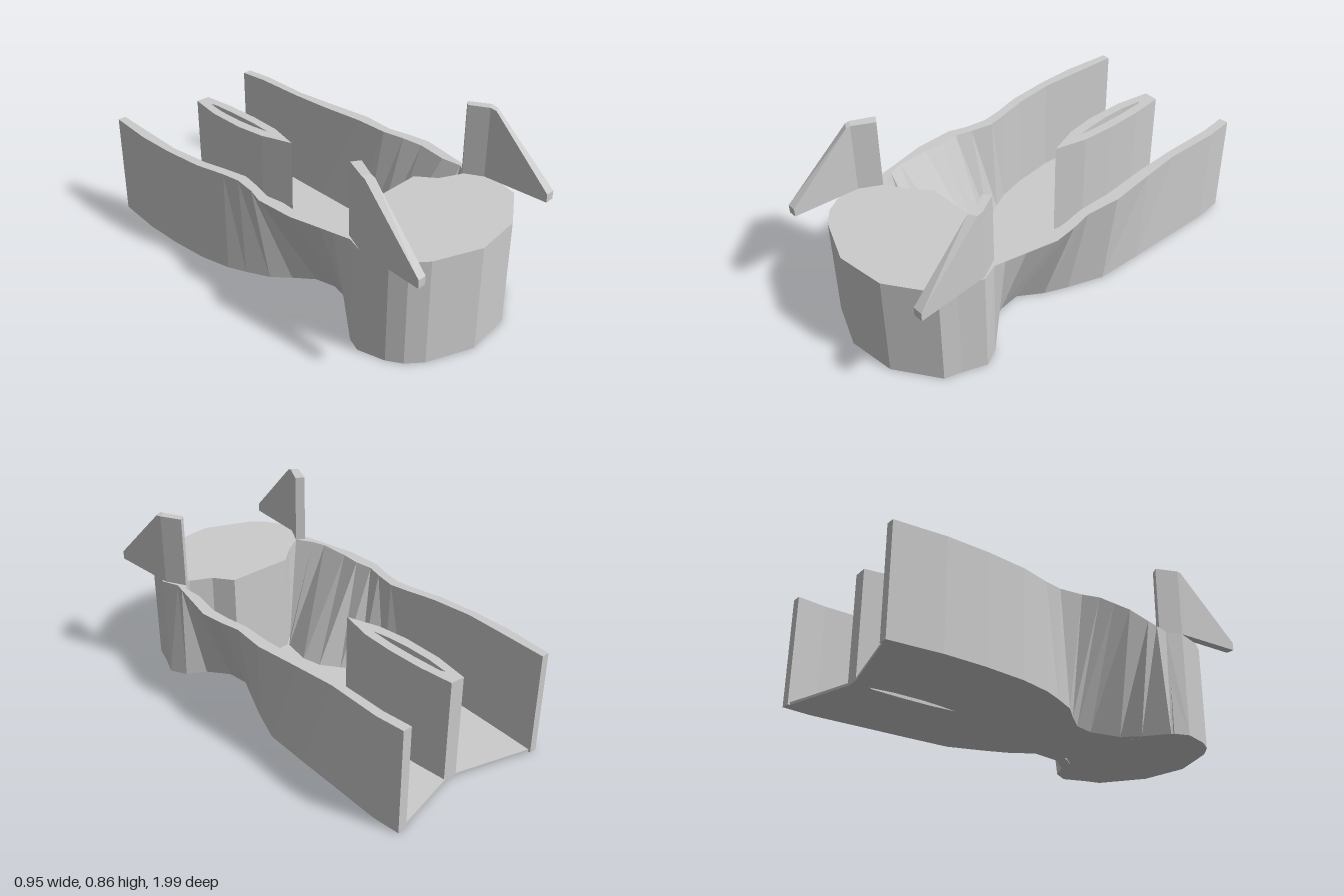
import * as THREE from 'three';

const H = 0.515;
const material = new THREE.MeshStandardMaterial({ color: 0xcccccc, flatShading: true });

function addMesh(group, name, geometry) {
  const mesh = new THREE.Mesh(geometry, material);
  mesh.name = name;
  group.add(mesh);
  return mesh;
}

// Upright prism from a plan outline of [x, z] points, with optional holes
function prism(outline, y0, y1, holes = []) {
  const toVec = ([x, z]) => new THREE.Vector2(x, -z);
  const shape = new THREE.Shape(outline.map(toVec));
  holes.forEach((h) => shape.holes.push(new THREE.Path(h.map(toVec))));
  const geo = new THREE.ExtrudeGeometry(shape, { depth: y1 - y0, bevelEnabled: false });
  return geo.rotateX(-Math.PI / 2).translate(0, y0, 0);
}

// Strip of four-cornered sections; each section lists corners in ring order
function loft(sections, flip) {
  const pos = [];
  const quad = (a, b, c, d) => {
    const order = flip ? [a, c, b, a, d, c] : [a, b, c, a, c, d];
    order.forEach((p) => pos.push(...p));
  };
  for (let i = 0; i < sections.length - 1; i++) {
    const s = sections[i], t = sections[i + 1];
    for (let k = 0; k < 4; k++) {
      const n = (k + 1) % 4;
      quad(s[k], s[n], t[n], t[k]);
    }
  }
  const e = sections[sections.length - 1], s = sections[0];
  quad(s[3], s[2], s[1], s[0]);
  quad(e[0], e[1], e[2], e[3]);
  const geo = new THREE.BufferGeometry();
  geo.setAttribute('position', new THREE.Float32BufferAttribute(pos, 3));
  geo.computeVertexNormals();
  return geo;
}

// Wall stations: z, bottom outer x, bottom inner x, top outer x, top inner x
const rightWall = [
  [-0.99, -0.43, -0.39, -0.43, -0.39],
  [-0.75, -0.46, -0.41, -0.46, -0.41],
  [-0.55, -0.465, -0.425, -0.465, -0.425],
  [-0.35, -0.455, -0.41, -0.455, -0.41],
  [-0.2, -0.425, -0.38, -0.425, -0.38],
  [-0.11, -0.39, -0.34, -0.415, -0.365],
  [0, -0.34, -0.28, -0.435, -0.39],
  [0.08, -0.27, -0.215, -0.465, -0.415],
  [0.17, -0.2, -0.15, -0.465, -0.405],
  [0.27, -0.18, -0.13, -0.465, -0.415],
  [0.42, -0.22, -0.16, -0.437, -0.415],
  [0.49, -0.29, -0.23, -0.425, -0.395],
  [0.57, -0.4, -0.34, -0.41, -0.35],
  [0.65, -0.44, -0.38, -0.44, -0.38],
];
const leftWall = [
  [-0.96, 0.43, 0.385, 0.43, 0.385],
  [-0.82, 0.44, 0.395, 0.44, 0.395],
  [-0.55, 0.425, 0.375, 0.425, 0.385],
  [-0.35, 0.415, 0.363, 0.44, 0.388],
  [-0.12, 0.4, 0.35, 0.46, 0.402],
  [0.05, 0.335, 0.28, 0.44, 0.395],
  [0.16, 0.285, 0.23, 0.46, 0.41],
  [0.27, 0.21, 0.16, 0.47, 0.415],
  [0.42, 0.225, 0.165, 0.435, 0.385],
  [0.52, 0.3, 0.23, 0.412, 0.39],
  [0.57, 0.39, 0.33, 0.4, 0.355],
  [0.65, 0.43, 0.37, 0.43, 0.37],
];

// Ear stations: z outer, x outer, z inner, x inner, top y
const rightEar = [
  [0.545, -0.39, 0.57, -0.35, 0.86],
  [0.65, -0.44, 0.67, -0.405, 0.86],
  [0.67, -0.443, 0.69, -0.407, 0.855],
  [0.985, -0.478, 0.985, -0.437, 0.555],
];
const leftEar = [
  [0.545, 0.37, 0.57, 0.34, 0.86],
  [0.64, 0.42, 0.66, 0.385, 0.86],
  [0.67, 0.422, 0.69, 0.386, 0.855],
  [0.985, 0.437, 0.985, 0.39, 0.555],
];

export function createModel() {
  const group = new THREE.Group();

  // Side walls, leaning outward above the narrow waist
  [['rightWall', rightWall, true], ['leftWall', leftWall, false]].forEach(([name, wall, flip]) => {
    addMesh(group, name, loft(wall.map(([z, ob, ib, ot, it]) => [
      [ob, 0, z], [ib, 0, z], [it, H, z], [ot, H, z],
    ]), !flip));
  });

  // Solid front block with a shallow curved slot in its top
  const block = [
    [-0.16, 0.43], [0.165, 0.43], [0.23, 0.52], [0.33, 0.57], [0.39, 0.58], [0.43, 0.65],
    [0.385, 0.76], [0.36, 0.84], [0.155, 0.975], [-0.08, 1], [-0.3, 0.91],
    [-0.37, 0.85], [-0.41, 0.78], [-0.44, 0.65], [-0.41, 0.58], [-0.35, 0.57], [-0.24, 0.5],
  ];
  const slot = [[-0.155, 0.91], [-0.03, 0.92], [0.16, 0.91], [0.14, 0.932], [-0.08, 0.942]];
  addMesh(group, 'frontBlock', prism(block, 0, H - 0.02));
  addMesh(group, 'frontBlockTop', prism(block, H - 0.02, H, [slot]));

  // Thin floor following the foot of both walls
  const leaf = [
    [-0.02, -0.87], [-0.055, -0.7], [-0.065, -0.5], [-0.05, -0.35], [0, -0.19],
    [0.045, -0.35], [0.06, -0.52], [0.062, -0.7], [0.05, -0.865],
  ];
  const leafSlot = [
    [0.005, -0.79], [-0.012, -0.68], [-0.017, -0.55], [-0.012, -0.45], [0, -0.36],
    [0.013, -0.48], [0.017, -0.62], [0.015, -0.77],
  ];
  const floorPlan = [
    ...rightWall.filter((s) => s[0] < 0.5).map((s) => [s[1], s[0]]),
    ...leftWall.filter((s) => s[0] < 0.5).map((s) => [s[1], s[0]]).reverse(),
    [0.015, -0.86],
  ];
  addMesh(group, 'floor', prism(floorPlan, 0, 0.012, [leafSlot]));

  // Hollow leaf-shaped divider
  addMesh(group, 'divider', prism(leaf, 0, H, [leafSlot]));

  // Swept ears above the front block
  [['rightEar', rightEar, true], ['leftEar', leftEar, false]].forEach(([name, ear, flip]) => {
    addMesh(group, name, loft(ear.map(([zo, xo, zi, xi, top]) => [
      [xo, H, zo], [xi, H, zi], [xi, top, zi], [xo, top, zo],
    ]), !flip));
  });

  return group;
}
